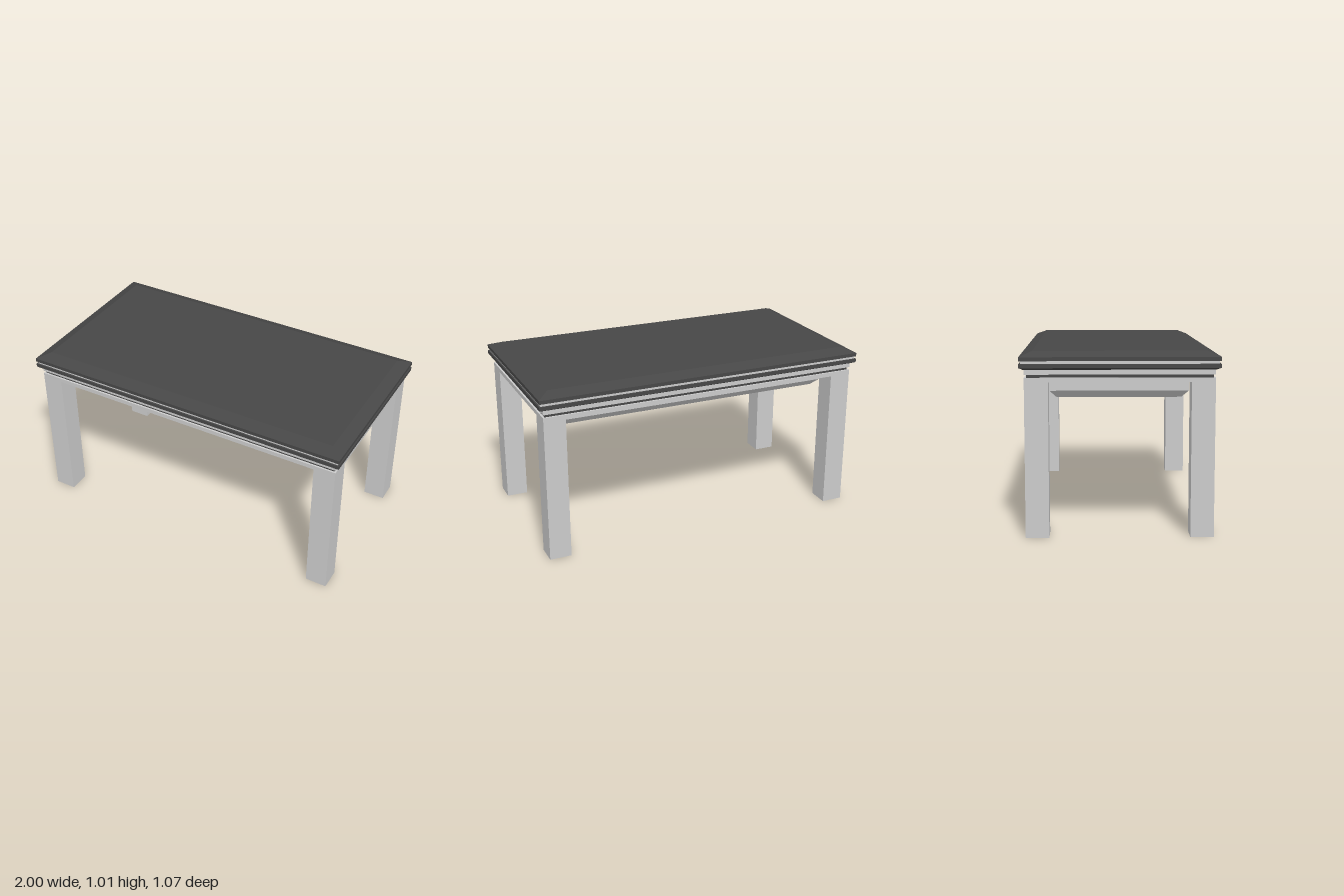
import * as THREE from 'three';

const grey = new THREE.MeshStandardMaterial({ color: 0xcccccc, flatShading: true });
const dark = new THREE.MeshStandardMaterial({ color: 0x474747, flatShading: true });

// Every layer of the table follows the same rectangle, so x is z plus a fixed difference
const EXTRA_X = 0.463;

// Rectangular layer from y0 to y1, with its own half depth at the bottom and at the top
function layer(name, y0, y1, z0, z1, material) {
  const geometry = new THREE.BoxGeometry(2, y1 - y0, 2);
  const p = geometry.attributes.position;
  for (let i = 0; i < p.count; i++) {
    const z = p.getY(i) > 0 ? z1 : z0;
    p.setX(i, p.getX(i) * (z + EXTRA_X));
    p.setZ(i, p.getZ(i) * z);
  }
  geometry.computeVertexNormals();
  const mesh = new THREE.Mesh(geometry, material);
  mesh.position.y = (y0 + y1) / 2;
  mesh.name = name;
  return mesh;
}

export function createModel() {
  const table = new THREE.Group();
  table.name = 'table';

  // Table top: stacked mouldings, from the bevelled surface down to the frame
  table.add(
    layer('topBevel', 0.984, 1.012, 0.537, 0.467, dark),
    layer('topEdge', 0.963, 0.984, 0.537, 0.537, dark),
    layer('upperBand', 0.947, 0.963, 0.528, 0.528, grey),
    layer('lowerEdge', 0.926, 0.947, 0.537, 0.537, dark),
    layer('lowerBevel', 0.915, 0.926, 0.514, 0.537, dark),
    layer('lowerBand', 0.889, 0.915, 0.511, 0.511, grey),
    layer('groove', 0.872, 0.889, 0.5, 0.5, dark),
    layer('frame', 0.847, 0.872, 0.511, 0.511, grey),
  );

  // Raised panel under the frame, with a bevelled lower edge
  table.add(
    layer('underPanel', 0.788, 0.847, 0.381, 0.381, grey),
    layer('underPanelBevel', 0.748, 0.788, 0.342, 0.381, grey),
  );

  // Square legs at the four corners
  const legGeometry = new THREE.BoxGeometry(0.128, 0.847, 0.128);
  for (const sx of [-1, 1]) {
    for (const sz of [-1, 1]) {
      const leg = new THREE.Mesh(legGeometry, grey);
      leg.name = `${sz > 0 ? 'front' : 'back'}${sx > 0 ? 'Left' : 'Right'}Leg`;
      leg.position.set(sx * 0.91, 0.4235, sz * 0.447);
      table.add(leg);
    }
  }
  return table;
}
